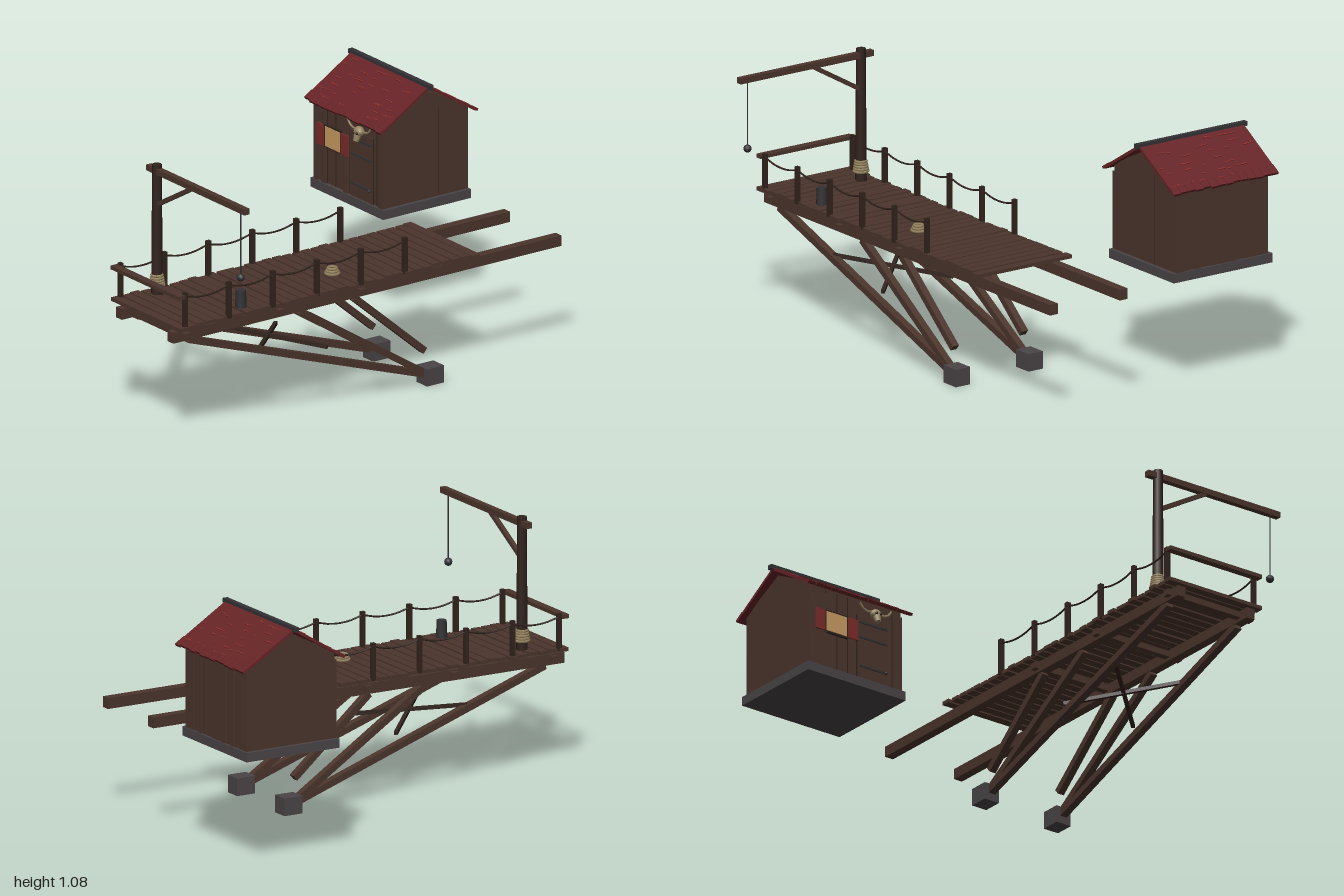
import * as THREE from 'three';

const mat = (name, color, extra = {}) => Object.assign(new THREE.MeshStandardMaterial({ color, ...extra }), { name });

export function createModel() {
  const root = new THREE.Group();
  root.name = 'pierWithHut';
  const wood = mat('wood', 0x4b352c);
  const darkWood = mat('darkWood', 0x32231d);
  const roofRed = mat('roofRed', 0x672427);
  const shingleRed = mat('shingleRed', 0x8c2f2a);
  const shutterRed = mat('shutterRed', 0x7c2c2a);
  const stone = mat('stone', 0x4a4547);
  const iron = mat('iron', 0x333336);
  const bone = mat('boneAndRope', 0x94835f);
  const glow = mat('windowGlow', 0xc99c62);

  let seed = 7;
  const rnd = (a, b) => {
    seed = (seed * 16807) % 2147483647;
    return a + (b - a) * (seed / 2147483647);
  };
  const V = (x, y, z) => new THREE.Vector3(x, y, z);
  const group = (name, parent = root) => {
    const g = new THREE.Group();
    g.name = name;
    parent.add(g);
    return g;
  };
  const add = (parent, name, geo, material, x = 0, y = 0, z = 0) => {
    const m = new THREE.Mesh(geo, material);
    m.name = name;
    m.position.set(x, y, z);
    parent.add(m);
    return m;
  };
  // box given by its limits on each axis
  const box = (parent, name, material, x0, x1, y0, y1, z0, z1) =>
    add(parent, name, new THREE.BoxGeometry(x1 - x0, y1 - y0, z1 - z0), material, (x0 + x1) / 2, (y0 + y1) / 2, (z0 + z1) / 2);
  // square timber running between two points
  const timber = (parent, name, material, a, b, w, h = w) => {
    const m = add(parent, name, new THREE.BoxGeometry(w, h, a.distanceTo(b)), material);
    m.position.copy(a).lerp(b, 0.5);
    m.lookAt(b);
    return m;
  };
  const tube = (parent, name, material, pts, r, n = 8) =>
    add(parent, name, new THREE.TubeGeometry(new THREE.CatmullRomCurve3(pts), n, r, 5), material);

  // ---- Deck: uneven planks on two long beams
  const deck = group('deck');
  const count = 32, step = 1.52 / count;
  for (let i = 0; i < count; i++) {
    const z = -0.53 + step * (i + 0.5);
    const p = box(deck, 'plank', wood, rnd(0.008, 0.024), rnd(0.466, 0.484), 0.511, 0.526, z - 0.0198, z + 0.0198);
    p.rotation.y = rnd(-0.008, 0.008);
    p.position.y += rnd(-0.002, 0.002);
  }
  for (const x of [0.07, 0.422]) box(deck, 'longBeam', wood, x - 0.02, x + 0.02, 0.453, 0.498, -0.965, 0.99);
  for (const z of [0.935, 0.46, 0.05]) box(deck, 'crossBeam', wood, 0.03, 0.465, 0.466, 0.492, z - 0.015, z + 0.015);

  // ---- Raking struts down to the footings
  const supports = group('supports');
  for (const [top, foot] of [[0.072, 0.064], [0.42, 0.43]]) {
    box(supports, 'footing', stone, foot - 0.036, foot + 0.036, 0.003, 0.077, -0.355, -0.27);
    timber(supports, 'longStrut', wood, V(top, 0.45, 0.905), V(foot, 0.04, -0.3), 0.032, 0.028);
    timber(supports, 'middleStrut', wood, V(top, 0.45, 0.34), V(foot, 0.04, -0.3), 0.03, 0.028);
    timber(supports, 'shortStrut', wood, V(top, 0.45, 0.07), V(top, 0.145, -0.285), 0.03, 0.028);
  }
  timber(supports, 'crossBrace', darkWood, V(0.07, 0.337, 0.54), V(0.425, 0.264, 0.2), 0.015);
  timber(supports, 'crossBrace', darkWood, V(0.425, 0.337, 0.54), V(0.07, 0.264, 0.2), 0.015);

  // ---- Railing: posts with sagging ropes, and a front rail
  const railing = group('railing');
  for (const x of [0.026, 0.466]) {
    for (let i = 0; i < 6; i++) {
      const z = 0.95 - i * 0.2215;
      box(railing, 'railPost', darkWood, x - 0.009, x + 0.009, 0.515, 0.672, z - 0.009, z + 0.009);
      if (i < 5) tube(railing, 'railRope', darkWood, [V(x, 0.657, z), V(x, 0.642, z - 0.06), V(x, 0.638, z - 0.111), V(x, 0.642, z - 0.161), V(x, 0.657, z - 0.2215)], 0.004);
    }
  }
  box(railing, 'frontRail', wood, 0.013, 0.48, 0.649, 0.665, 0.958, 0.99);

  // ---- Hoist: mast, arm, brace and hanging weight
  const hoist = group('hoist');
  add(hoist, 'mast', new THREE.CylinderGeometry(0.02, 0.024, 0.565, 8), darkWood, 0.086, 0.8025, 0.81);
  box(hoist, 'arm', wood, 0.03, 0.7, 1.045, 1.07, 0.797, 0.823);
  timber(hoist, 'armBrace', wood, V(0.095, 0.915, 0.81), V(0.325, 1.048, 0.81), 0.018);
  add(hoist, 'hoistLine', new THREE.CylinderGeometry(0.0025, 0.0025, 0.28, 5), iron, 0.657, 0.91, 0.81);
  add(hoist, 'weight', new THREE.SphereGeometry(0.017, 10, 8), iron, 0.657, 0.763, 0.81);
  const ring = (parent, name, r, t, x, y, z) =>
    add(parent, name, new THREE.TorusGeometry(r, t, 6, 14), bone, x, y, z).rotateX(Math.PI / 2);
  for (let i = 0; i < 5; i++) ring(hoist, 'mastRope', 0.029 - i * 0.0018, 0.0065, 0.086, 0.566 + i * 0.0105, 0.81);

  // ---- Things on the deck
  const cargo = group('cargo');
  for (let i = 0; i < 3; i++) ring(cargo, 'ropeCoil', 0.028 - i * 0.005, 0.006, 0.32, 0.532 + i * 0.01, 0.1);
  add(cargo, 'ropeCoilCore', new THREE.CylinderGeometry(0.014, 0.022, 0.018, 10), bone, 0.32, 0.536, 0.1);
  add(cargo, 'bollard', new THREE.CylinderGeometry(0.021, 0.024, 0.074, 8), iron, 0.415, 0.563, 0.63);

  // ---- Hut: plinth and gabled body
  const hut = group('hut');
  const zc = -0.747, front = -0.54, back = -0.955;
  box(hut, 'plinth', stone, -0.677, -0.18, 0.477, 0.516, -0.968, -0.526);
  const gable = new THREE.Shape([[-0.205, 0.51], [0.205, 0.51], [0.205, 0.882], [0, 0.982], [-0.205, 0.882]].map(p => new THREE.Vector2(...p)));
  const body = add(hut, 'walls', new THREE.ExtrudeGeometry(gable, { depth: 0.466, bevelEnabled: false }), wood, -0.661, 0, zc);
  body.rotation.y = Math.PI / 2;
  // upright boards at the back, wider ones with gaps at the front
  const n = 15, bw = 0.469 / n;
  for (let i = 0; i < n; i++) {
    const x = -0.663 + bw * i;
    box(hut, 'backBoard', wood, x + 0.002, x + bw - 0.002, 0.515, 0.872, back - rnd(0.002, 0.01), back + 0.005);
  }
  for (const [x0, x1] of [[-0.663, -0.635], [-0.61, -0.58], [-0.462, -0.432], [-0.222, -0.194]])
    box(hut, 'frontBatten', wood, x0, x1, 0.515, 0.845, front - 0.005, front + 0.009);
  for (const x of [-0.58, -0.52, -0.467, -0.24])
    box(hut, 'boardGap', darkWood, x - 0.0015, x + 0.0015, 0.515, 0.86, front - 0.001, front + 0.002);
  box(hut, 'boardGap', darkWood, -0.195, -0.1938, 0.515, 0.9, -0.815, -0.812);

  // door with cross bars
  box(hut, 'door', wood, -0.418, -0.262, 0.516, 0.8, front, front + 0.006);
  for (const x of [-0.42, -0.262]) box(hut, 'doorSeam', darkWood, x - 0.002, x + 0.002, 0.516, 0.8, front, front + 0.004);
  for (const y of [0.767, 0.7, 0.572]) box(hut, 'doorBar', iron, -0.41, -0.27, y - 0.004, y + 0.004, front, front + 0.01);
  add(hut, 'doorKnob', new THREE.SphereGeometry(0.006, 8, 6), iron, -0.278, 0.572, front + 0.012);

  // lit window with frame and shutters
  box(hut, 'windowFrame', darkWood, -0.59, -0.47, 0.673, 0.772, front, front + 0.01);
  box(hut, 'windowPane', glow, -0.58, -0.48, 0.68, 0.765, front + 0.008, front + 0.013);
  for (const [x0, x1] of [[-0.636, -0.589], [-0.471, -0.423]])
    box(hut, 'shutter', shutterRed, x0, x1, 0.677, 0.767, front + 0.006, front + 0.015);

  // animal skull with mirrored horns
  const skull = group('skull', hut);
  skull.position.set(-0.337, 0.815, front);
  add(skull, 'cranium', new THREE.SphereGeometry(0.024, 10, 8), bone, 0, 0, 0.02).scale.set(1.1, 0.9, 0.9);
  add(skull, 'snout', new THREE.CylinderGeometry(0.018, 0.012, 0.036, 8), bone, 0, -0.022, 0.03).rotation.x = -0.35;
  for (const s of [-1, 1]) {
    add(skull, 'eyeSocket', new THREE.SphereGeometry(0.006, 8, 6), darkWood, s * 0.01, -0.002, 0.039);
    tube(skull, 'horn', bone, [V(s * 0.015, 0.008, 0.018), V(s * 0.042, 0.004, 0.018), V(s * 0.064, 0.014, 0.018), V(s * 0.08, 0.034, 0.018)], 0.005);
  }

  // ---- Roof: two slopes with shingle tabs and raised brighter edges
  const roof = group('roof', hut);
  const slopeLen = 0.29, tilt = Math.atan2(0.152, 0.247);
  for (const turn of [0, Math.PI]) {
    const side = group('roofSide', roof);
    side.position.set(-0.427, 1.012, zc);
    side.rotation.y = turn;
    const slope = group('roofSlope', side);
    slope.rotation.x = tilt;
    box(slope, 'roofSlab', roofRed, -0.262, 0.262, -0.012, 0, 0, slopeLen - 0.008);
    for (let i = 0; i < 14; i++) {
      const x = -0.264 + i * 0.0377;
      box(slope, 'eaveShingle', roofRed, x + 0.001, x + 0.0367, -0.009, 0.002, slopeLen - 0.05, slopeLen + rnd(-0.006, 0.002));
    }
    for (let i = 0; i < 42; i++) {
      const x = rnd(-0.26, 0.215), z = 0.035 * (1 + i % 7) + rnd(-0.005, 0.005);
      const s = box(slope, 'shingleEdge', shingleRed, x, x + rnd(0.018, 0.045), -0.002, 0.003, z - 0.0018, z + 0.0018);
      s.rotation.y = rnd(-0.06, 0.06);
    }
  }
  box(roof, 'ridgeCap', iron, -0.705, -0.15, 0.999, 1.018, zc - 0.011, zc + 0.011);

  return root;
}
